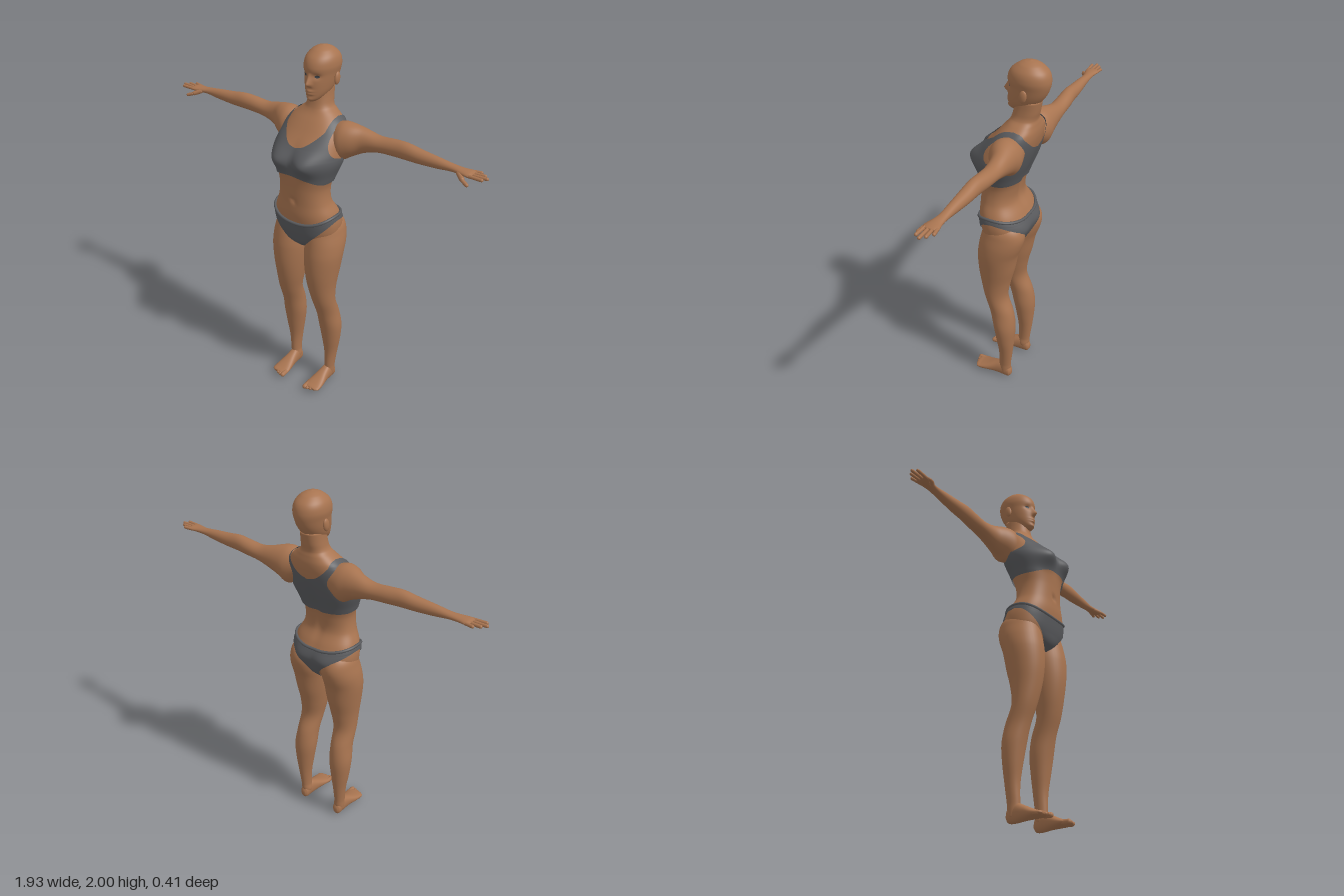
import * as THREE from 'three';
import { mergeGeometries, mergeVertices } from 'three/addons/utils/BufferGeometryUtils.js';

const lerp = THREE.MathUtils.lerp, clamp = THREE.MathUtils.clamp;
const bell = (d, w) => Math.exp(-((d / w) ** 2));

// Smooth interpolation between the rows of a cross-section table
function sample(T, p) {
  let i = 0;
  while (i < T.length - 2 && p > T[i + 1][0]) i++;
  const A = T[i], B = T[i + 1], h = B[0] - A[0], t = (p - A[0]) / h;
  const slope = (j, k) => {
    const P = T[Math.max(j - 1, 0)], N = T[Math.min(j + 1, T.length - 1)];
    return (N[k] - P[k]) / (N[0] - P[0]);
  };
  return A.map((a, k) => {
    const d = B[k] - a, m = slope(i, k) * h, n = slope(i + 1, k) * h;
    return a + t * (m + t * (3 * d - 2 * m - n + t * (m + n - 2 * d)));
  });
}

// Point on an oval section [pos, aMin, aMax, bMin, bMax, bMid]
function ring(T, pos, th, e = 1) {
  const [, a0, a1, b0, b1, m] = sample(T, pos), mid = m ?? (b0 + b1) / 2;
  const pow = (v) => Math.sign(v) * Math.abs(v) ** e;
  const c = pow(Math.cos(th)), s = pow(Math.sin(th));
  return [(a0 + a1) / 2 + (c * (a1 - a0)) / 2, mid + s * (s > 0 ? b1 - mid : mid - b0)];
}

function grid(f, rows, cols, closed) {
  const pos = [], idx = [], w = closed ? cols : cols + 1;
  for (let i = 0; i <= rows; i++) for (let j = 0; j < w; j++) pos.push(...f(i, j));
  for (let i = 0; i < rows; i++) for (let j = 0; j < cols; j++) {
    const a = i * w + j, b = i * w + ((j + 1) % w);
    idx.push(a, b, a + w, b, b + w, a + w);
  }
  const g = new THREE.BufferGeometry();
  g.setAttribute('position', new THREE.Float32BufferAttribute(pos, 3));
  g.setIndex(idx);
  g.computeVertexNormals();
  return g;
}

// Closed skin over a table, with both ends drawn in to a point
function loft(T, point, k, cols, down) {
  const ps = [];
  for (let i = 0; i < T.length - 1; i++) for (let j = 0; j < k; j++) ps.push(lerp(T[i][0], T[i + 1][0], j / k));
  ps.push(T[T.length - 1][0]);
  if (down) ps.reverse();
  const n = ps.length;
  return grid((i, j) => {
    const p = ps[clamp(i - 1, 0, n - 1)], th = (j / cols) * Math.PI * 2;
    if (i > 0 && i <= n) return point(p, th);
    const a = point(p, 0), b = point(p, Math.PI);
    return a.map((v, q) => (v + b[q]) / 2);
  }, n + 1, cols, true);
}

function mirror(geo) {
  const g = geo.clone().scale(-1, 1, 1), ix = g.index.array;
  for (let i = 0; i < ix.length; i += 3) [ix[i], ix[i + 1]] = [ix[i + 1], ix[i]];
  return g;
}

// Torso rows: y, half width, back z, front z, widest z
const TORSO = [
  [0.93, 0.03, -0.03, 0.08, 0.02], [0.97, 0.11, -0.07, 0.122, 0.02], [1.02, 0.175, -0.095, 0.14, 0.02],
  [1.08, 0.19, -0.107, 0.152, 0.02], [1.15, 0.18, -0.082, 0.16, 0.03], [1.22, 0.149, -0.045, 0.158, 0.05],
  [1.30, 0.14, -0.05, 0.16, 0.05], [1.37, 0.158, -0.07, 0.163, 0.04], [1.46, 0.187, -0.104, 0.16, 0.02],
  [1.54, 0.18, -0.13, 0.122, -0.01], [1.60, 0.165, -0.143, 0.075, -0.04], [1.64, 0.14, -0.145, 0.042, -0.06],
  [1.675, 0.1, -0.14, 0.012, -0.065], [1.70, 0.072, -0.136, -0.002, -0.07], [1.74, 0.062, -0.145, -0.012, -0.08],
  [1.80, 0.058, -0.155, -0.02, -0.09],
].map(([y, r, b, f, m]) => [y, -r, r, b, f, m]);
const SQUARE = 0.87;

function torsoPoint(y, th, off = 0) {
  let [x, z] = ring(TORSO, y, th, SQUARE);
  const s = Math.sin(th), ax = Math.abs(x);
  if (s > 0) { // bust and navel
    z += s * 0.05 * bell(ax - 0.085, 0.07) * bell(y - 1.465, 0.06);
    z -= 0.012 * bell(x, 0.014) * bell(y - 1.235, 0.014);
  } else { // seat and spine
    z += s * 0.012 * bell(ax - 0.085, 0.06) * bell(y - 1.06, 0.05);
    z += 0.01 * bell(x, 0.025) * bell(y - 1.33, 0.16);
  }
  const dz = z - sample(TORSO, y)[5], l = Math.hypot(x, dz) || 1;
  return [x + (off * x) / l, y, z + (off * dz) / l];
}

// Fabric lying on the torso between two widths that change with height
function cloth(top, bottom, inner, outer, front, shift) {
  const angle = (x, y) => Math.acos(clamp(x / sample(TORSO, y)[2], 0, 1) ** (1 / SQUARE));
  return grid((i, j) => {
    const y = lerp(top, bottom, i / 48), o = angle(outer(y), y), n = angle(inner(y), y);
    const th = front ? lerp(o, n, j / 24) : lerp(-n, -o, j / 24);
    return torsoPoint(y + shift(y, th), th, 0.008);
  }, 48, 24, false);
}
function garment(halves) {
  const g = mergeGeometries(halves.flatMap((h) => [h, mirror(h)]));
  g.deleteAttribute('normal');
  const m = mergeVertices(g, 1e-4);
  m.computeVertexNormals();
  return m;
}

const HEAD = [
  [1.735, 0.015, -0.04, 0.01, -0.015], [1.75, 0.036, -0.08, 0.02, -0.03], [1.78, 0.058, -0.135, 0.021, -0.06],
  [1.82, 0.071, -0.172, 0.022, -0.08], [1.87, 0.08, -0.195, 0.019, -0.09], [1.91, 0.086, -0.2, 0.021, -0.095],
  [1.95, 0.078, -0.188, 0.004, -0.095], [1.98, 0.053, -0.155, -0.032, -0.094], [1.994, 0.027, -0.125, -0.062, -0.094],
  [2.0, 0.003, -0.097, -0.091, -0.094],
].map(([y, r, b, f, m]) => [y, -r, r, b, f, m]);

function headPoint(y, th, off = 0) {
  let [x, z] = ring(HEAD, y, th);
  if (Math.sin(th) > 0) { // nose, eye sockets, lips, chin
    const nose = y > 1.83 ? clamp((1.885 - y) / 0.055, 0, 1) : clamp(1 - (1.83 - y) / 0.018, 0, 1);
    z += 0.029 * nose * bell(x, 0.013);
    z -= 0.009 * bell(Math.abs(x) - 0.034, 0.018) * bell(y - 1.868, 0.014);
    z += 0.008 * bell(x, 0.022) * (bell(y - 1.793, 0.006) + bell(y - 1.779, 0.006));
    z += 0.005 * bell(x, 0.02) * bell(y - 1.75, 0.01);
  }
  return [x, y, z + off];
}

// Limb tables: position, then the extents across the other two axes
const LEG = [
  [0.03, 0.10, 0.15, -0.03, 0.0], [0.06, 0.092, 0.152, -0.045, 0.02], [0.1, 0.097, 0.153, -0.048, 0.022],
  [0.2, 0.09, 0.165, -0.06, 0.022], [0.3, 0.075, 0.182, -0.07, 0.035], [0.4, 0.062, 0.191, -0.075, 0.052],
  [0.5, 0.06, 0.182, -0.06, 0.075], [0.6, 0.05, 0.182, -0.024, 0.108], [0.7, 0.03, 0.187, -0.035, 0.132],
  [0.8, 0.014, 0.2, -0.06, 0.146], [0.9, 0.004, 0.212, -0.08, 0.146], [0.97, 0.004, 0.211, -0.105, 0.136],
  [1.03, 0.012, 0.2, -0.116, 0.122], [1.08, 0.03, 0.185, -0.1, 0.105], [1.12, 0.06, 0.15, -0.06, 0.07],
];
const FOOT = [
  [-0.052, 0.11, 0.135, 0.02, 0.05], [-0.04, 0.098, 0.147, 0.003, 0.075], [0, 0.093, 0.15, 0, 0.1],
  [0.05, 0.085, 0.155, 0.006, 0.083], [0.1, 0.075, 0.165, 0.01, 0.06], [0.14, 0.07, 0.168, 0.014, 0.045],
  [0.16, 0.075, 0.165, 0.018, 0.04], [0.17, 0.09, 0.15, 0.022, 0.036],
];
const ARM = [
  [0.10, 1.5, 1.63, -0.12, 0], [0.17, 1.45, 1.652, -0.135, 0.035], [0.22, 1.475, 1.648, -0.132, 0.02],
  [0.28, 1.505, 1.632, -0.127, -0.018], [0.36, 1.53, 1.615, -0.122, -0.033], [0.45, 1.537, 1.622, -0.118, -0.036],
  [0.52, 1.54, 1.626, -0.11, -0.035], [0.6, 1.543, 1.615, -0.105, -0.035], [0.7, 1.55, 1.605, -0.095, -0.04],
  [0.78, 1.56, 1.595, -0.09, -0.042], [0.83, 1.562, 1.592, -0.092, -0.032], [0.87, 1.565, 1.59, -0.1, -0.024],
  [0.888, 1.57, 1.585, -0.095, -0.03],
];

// Rounded finger between two points
function digit(a, b, r) {
  const A = new THREE.Vector3(...a), d = new THREE.Vector3(...b).sub(A), len = d.length();
  const g = new THREE.CapsuleGeometry(r, len - r, 5, 10).translate(0, len / 2 - r / 2, 0);
  g.applyQuaternion(new THREE.Quaternion().setFromUnitVectors(new THREE.Vector3(0, 1, 0), d.normalize()));
  return g.translate(...a);
}

export function createModel() {
  const model = new THREE.Group();
  const paint = (name, color) => Object.assign(new THREE.MeshStandardMaterial({ color }), { name });
  const skin = paint('skin', 0xa87450), fabric = paint('grey fabric', 0x5a5b5e), dark = paint('dark eye', 0x3f4247);
  fabric.side = dark.side = THREE.DoubleSide;
  const add = (name, geo, mat) => {
    const m = new THREE.Mesh(geo, mat);
    m.name = name;
    model.add(m);
  };
  const pair = (name, geo, mat) => { add('left' + name, geo, mat); add('right' + name, mirror(geo), mat); };

  add('torso', loft(TORSO, torsoPoint, 6, 96, true), skin);
  add('head', loft(HEAD, headPoint, 9, 112, true), skin);
  pair('Ear', new THREE.SphereGeometry(1, 16, 12).scale(0.011, 0.033, 0.02).rotateX(-0.15).translate(0.086, 1.845, -0.095), skin);
  pair('Eye', grid((i, j) => {
    const v = j / 8 - 0.5, h = 0.007 * Math.sqrt(1 - 4 * v * v);
    return headPoint(1.868 + h * (1 - i / 2), 1.1 + v * 0.32, 0.003);
  }, 4, 8, false), dark);

  // Legs, feet and toes
  pair('Leg', loft(LEG, (y, th) => { const [x, z] = ring(LEG, y, th); return [x, y, z]; }, 5, 40, true), skin);
  pair('Foot', loft(FOOT, (z, th) => [...ring(FOOT, z, th, 0.9), z], 4, 32), skin);
  const toes = [0, 1, 2, 3, 4].map((i) => {
    const r = i ? 0.0095 : 0.014;
    return digit([0.085 + i * 0.018, 0.028, 0.14 - i * 0.004], [0.083 + i * 0.019, 0.026, 0.188 - i * i * 0.0018 - i * 0.001], r);
  });
  pair('Toes', mergeGeometries(toes), skin);

  // Arms, fingers and thumb
  pair('Arm', loft(ARM, (x, th) => [x, ...ring(ARM, x, th)], 5, 40), skin);
  const tips = [[-0.09, -0.1, 0.915], [-0.072, -0.078, 0.945], [-0.053, -0.056, 0.965], [-0.034, -0.031, 0.95]];
  const fingers = tips.map(([z0, z1, x]) => digit([0.865, 1.577, z0], [x, 1.579, z1], 0.0085));
  fingers.push(digit([0.82, 1.572, -0.042], [0.86, 1.556, -0.012], 0.0125));
  fingers.push(digit([0.858, 1.557, -0.012], [0.893, 1.545, 0.001], 0.009));
  pair('Fingers', mergeGeometries(fingers), skin);

  // Cropped top: scooped neck, armholes and shoulder straps
  const neck = (base) => (y) => (y < base ? 0 : Math.min(0.113, 0.113 * Math.sqrt((y - base) / 0.08)));
  const armhole = (y) => (y < 1.48 ? 1 : 0.143 + 0.05 * clamp(1 - (y - 1.48) / 0.11, 0, 1) ** 2);
  const hem = (y, th) => 0.04 * Math.max(0, Math.sin(th)) ** 3 * clamp((1.45 - y) / 0.1, 0, 1);
  add('croppedTop', garment([
    cloth(1.672, 1.345, neck(1.53), armhole, true, hem),
    cloth(1.672, 1.345, neck(1.555), armhole, false, hem),
  ]), fabric);

  // Briefs with a raised waistband
  const dip = (th) => -(Math.sin(th) > 0 ? 0.048 : 0.025) * Math.sin(th) ** 2;
  const sag = (y, th) => dip(th) * clamp((y - 1.0) / 0.155, 0, 1) ** 2;
  const none = () => 0;
  add('briefs', garment([
    cloth(1.155, 0.935, none, (y) => (y > 1.125 ? 1 : 0.02 + (y - 0.935) * 0.87), true, sag),
    cloth(1.155, 0.935, none, (y) => (y > 1.125 ? 1 : 0.02 + 0.165 * ((y - 0.935) / 0.19) ** 2), false, sag),
  ]), fabric);
  const waist = [];
  for (let i = 0; i < 48; i++) {
    const th = (-i / 48) * Math.PI * 2;
    waist.push(new THREE.Vector3(...torsoPoint(1.152 + dip(th), th, 0.006)));
  }
  add('waistband', new THREE.TubeGeometry(new THREE.CatmullRomCurve3(waist, true), 96, 0.008, 8, true), fabric);
  return model;
}
